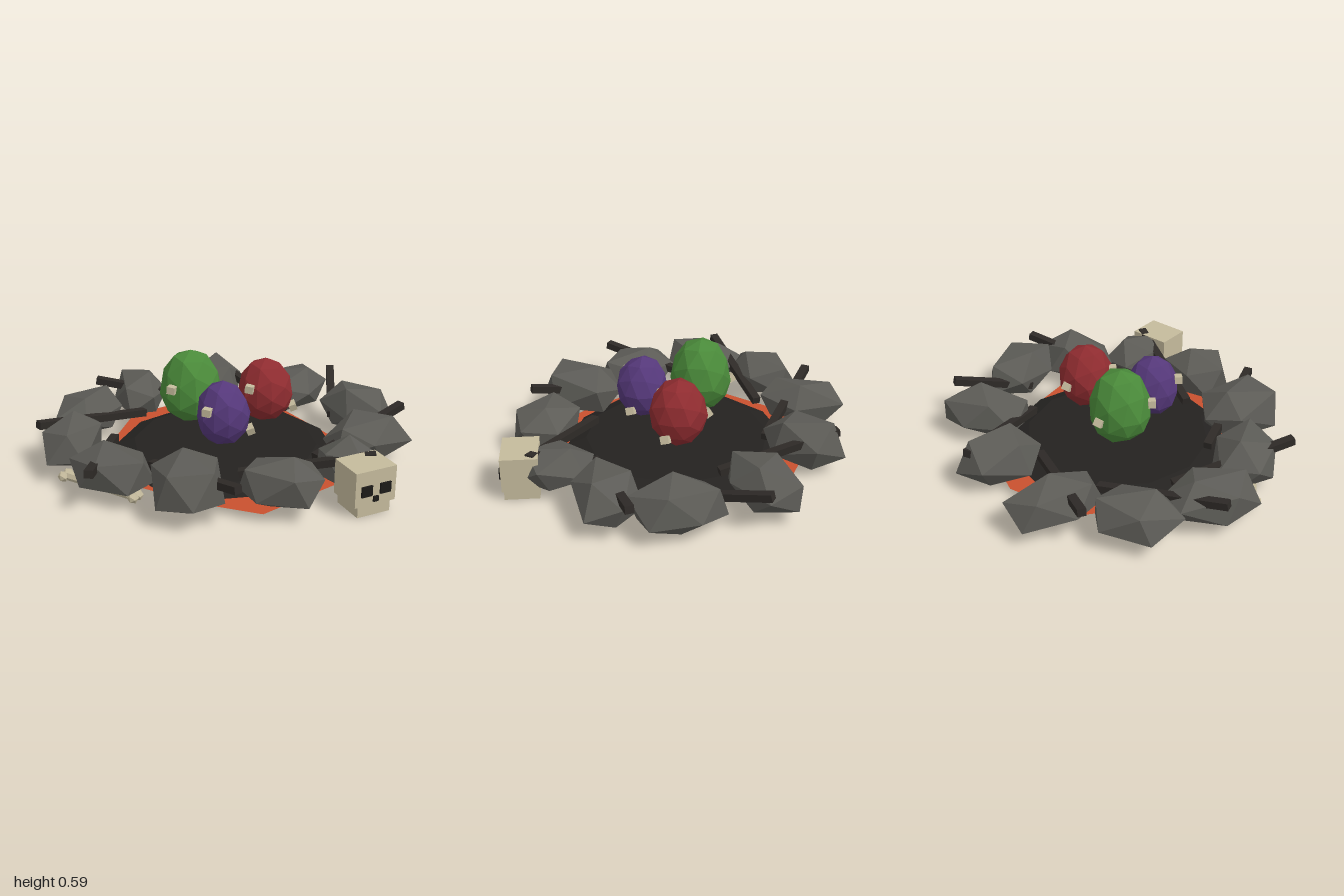
import * as THREE from 'three';

const mat = (color, extra = {}) => new THREE.MeshStandardMaterial({ color, flatShading: true, ...extra });
const ROCK = mat(0x5c5b56), CHAR = mat(0x242220), STICK = mat(0x2e2a27), BONE = mat(0xc4ba9c);
const EMBER = mat(0xc8502e, { side: THREE.DoubleSide }), DARK = mat(0x1c1a18);

// Small seeded generator
function seeded(seed) {
  let s = seed * 7919 + 17;
  const next = () => (s = (s * 16807) % 2147483647) / 2147483647;
  for (let i = 0; i < 5; i++) next();
  return next;
}

function add(parent, name, geometry, material, x = 0, y = 0, z = 0) {
  const mesh = new THREE.Mesh(geometry, material);
  mesh.name = name;
  mesh.position.set(x, y, z);
  parent.add(mesh);
  return mesh;
}

// Moves every vertex by a rule
function reshape(g, rule) {
  const p = g.attributes.position, v = new THREE.Vector3();
  for (let i = 0; i < p.count; i++) {
    rule(v.fromBufferAttribute(p, i));
    p.setXYZ(i, v.x, v.y, v.z);
  }
  g.computeVertexNormals();
  return g;
}

// Random in-and-out shift, the same for corners that meet
function jitter(g, amount, rnd) {
  const factors = new Map();
  return reshape(g, (v) => {
    const key = v.toArray().map((c) => Math.round(c * 100) + 0).join();
    if (!factors.has(key)) factors.set(key, 1 + amount * (2 * rnd() - 1));
    v.multiplyScalar(factors.get(key));
  });
}

// Scales a geometry to the given half sizes about its centre
function fit(g, hw, hh, hd) {
  g.center();
  const size = g.boundingBox.getSize(new THREE.Vector3());
  return g.scale(2 * hw / size.x, 2 * hh / size.y, 2 * hd / size.z);
}

// Blunt faceted boulder with a flattened underside, stretched along a heading
function rockGeometry(seed, hw, hh, hd, heading) {
  const rnd = seeded(seed);
  const g = jitter(new THREE.IcosahedronGeometry(1, 0), 0.1, rnd);
  g.rotateX(rnd() * 6).rotateZ(rnd() * 6);
  const blunt = (c) => Math.sign(c) * Math.abs(c) ** 0.82;
  reshape(fit(g, 1, 1, 1), (v) => v.set(1.35 * blunt(v.x), blunt(v.y) * (v.y < 0 ? 0.55 : 1), blunt(v.z)));
  fit(g.rotateY(heading), hw, hh, hd);
  g.computeVertexNormals();
  return g;
}

// Egg with a taller upper half and three studs around it
function makeEgg(parent, name, color, x, z, r, mid, up, down) {
  const egg = new THREE.Group();
  egg.name = name;
  egg.position.set(x, 0, z);
  parent.add(egg);
  const g = jitter(new THREE.IcosahedronGeometry(1.01, 1).rotateY(0.3), 0.03, seeded(Math.round(r * 1000)));
  reshape(g, (v) => v.set(v.x * r, v.y * (v.y > 0 ? up : down), v.z * r));
  add(egg, 'eggShell', g, mat(color), 0, mid, 0);
  [-0.08, 0.06, 0].forEach((dy, i) => {
    const a = i * Math.PI * 2 / 3;
    const stud = add(egg, 'eggStud', new THREE.BoxGeometry(0.04, 0.04, 0.045), BONE,
      Math.cos(a) * r, mid + dy, Math.sin(a) * r);
    stud.rotation.set(0.3, -a + 0.25, 0.3);
  });
}

export function createModel() {
  const model = new THREE.Group();
  model.name = 'eggNest';

  // Ember sheet under a charred floor
  const outline = [[-0.65, 0.04], [-0.59, -0.4], [-0.27, -0.66], [0.17, -0.7], [0.7, -0.04],
    [0.58, 0.4], [0.24, 0.73], [-0.09, 0.65], [-0.44, 0.49]];
  const sheet = new THREE.Shape(outline.map(([x, z]) => new THREE.Vector2(x, -z)));
  add(model, 'emberSheet', new THREE.ShapeGeometry(sheet).rotateX(-Math.PI / 2), EMBER, 0, 0.04, 0);
  add(model, 'charredFloor', new THREE.CylinderGeometry(0.5, 0.6, 0.04, 12), CHAR, -0.01, 0.062, 0.01);

  // Ring of boulders: x, z, half width, half depth, heading, top
  const rocks = [
    [-0.14, -0.68, 0.15, 0.23, 1.5, 0.29], [0.33, -0.64, 0.21, 0.22, 0.8, 0.28],
    [0.71, -0.35, 0.21, 0.21, -0.6, 0.29], [0.76, 0.02, 0.24, 0.19, 0.6, 0.27],
    [0.66, 0.36, 0.165, 0.19, -1.0, 0.27], [0.32, 0.63, 0.21, 0.155, 0, 0.29],
    [-0.13, 0.68, 0.19, 0.225, -1.3, 0.31], [-0.53, 0.53, 0.22, 0.19, -0.4, 0.28],
    [-0.80, 0.23, 0.15, 0.225, 1.4, 0.28], [-0.80, -0.17, 0.19, 0.2, 0.7, 0.27],
    [-0.56, -0.51, 0.15, 0.25, -1.3, 0.27],
  ];
  rocks.forEach(([x, z, hw, hd, heading, top], i) => {
    const hh = (top - 0.05) / 2;
    add(model, 'boulder', rockGeometry(i + 3, hw, hh, hd, heading), ROCK, x, 0.05 + hh, z);
  });

  // Charred sticks, outer end raised: outer x, z, inner x, z
  const sticks = [
    [-0.17, -0.85, 0.3, -0.38], [0.56, -0.77, 0.57, -0.32], [0.95, -0.22, 0.48, 0.25], [0.78, 0.445, 0.1, 0.465],
    [0.13, 0.86, -0.35, 0.4], [-0.59, 0.77, -0.6, 0.1], [-0.98, 0.23, -0.5, -0.26], [-0.81, -0.44, -0.13, -0.46],
  ];
  for (const [x1, z1, x2, z2] of sticks) {
    const a = new THREE.Vector3(x1, 0.235, z1), b = new THREE.Vector3(x2, 0.12, z2);
    const stick = add(model, 'charredStick', new THREE.BoxGeometry(0.045, 0.04, a.distanceTo(b)), STICK);
    stick.position.copy(a).lerp(b, 0.5);
    stick.lookAt(a);
  }

  makeEgg(model, 'greenEgg', 0x4a8a3a, -0.2, -0.04, 0.165, 0.35, 0.235, 0.17);
  makeEgg(model, 'redEgg', 0x8f2c30, 0.2, -0.1, 0.15, 0.34, 0.19, 0.17);
  makeEgg(model, 'purpleEgg', 0x55387a, 0, 0.215, 0.14, 0.33, 0.18, 0.16);

  // Blocky skull
  const skull = new THREE.Group();
  skull.name = 'skull';
  skull.position.set(0.725, 0, 0.535);
  skull.rotation.y = 0.54;
  model.add(skull);
  add(skull, 'cranium', new THREE.BoxGeometry(0.23, 0.185, 0.19), BONE, 0, 0.153, 0);
  add(skull, 'jaw', new THREE.BoxGeometry(0.185, 0.07, 0.18), BONE, 0, 0.035, -0.003);
  for (const s of [-1, 1]) add(skull, 'eyeSocket', new THREE.BoxGeometry(0.06, 0.055, 0.02), DARK, s * 0.053, 0.142, 0.095);
  add(skull, 'noseHole', new THREE.BoxGeometry(0.028, 0.028, 0.02), DARK, 0, 0.093, 0.095);

  // Loose bone with a pair of knobs at each end
  const bone = new THREE.Group();
  bone.name = 'looseBone';
  bone.position.set(-0.59, 0.063, 0.55);
  bone.rotation.y = -0.46;
  model.add(bone);
  add(bone, 'boneShaft', new THREE.CylinderGeometry(0.024, 0.024, 0.44, 6).rotateZ(Math.PI / 2), BONE);
  for (const sx of [-1, 1]) for (const sz of [-1, 1]) {
    add(bone, 'boneKnob', new THREE.IcosahedronGeometry(0.03, 0), BONE, sx * 0.22, 0, sz * 0.02);
  }
  return model;
}
